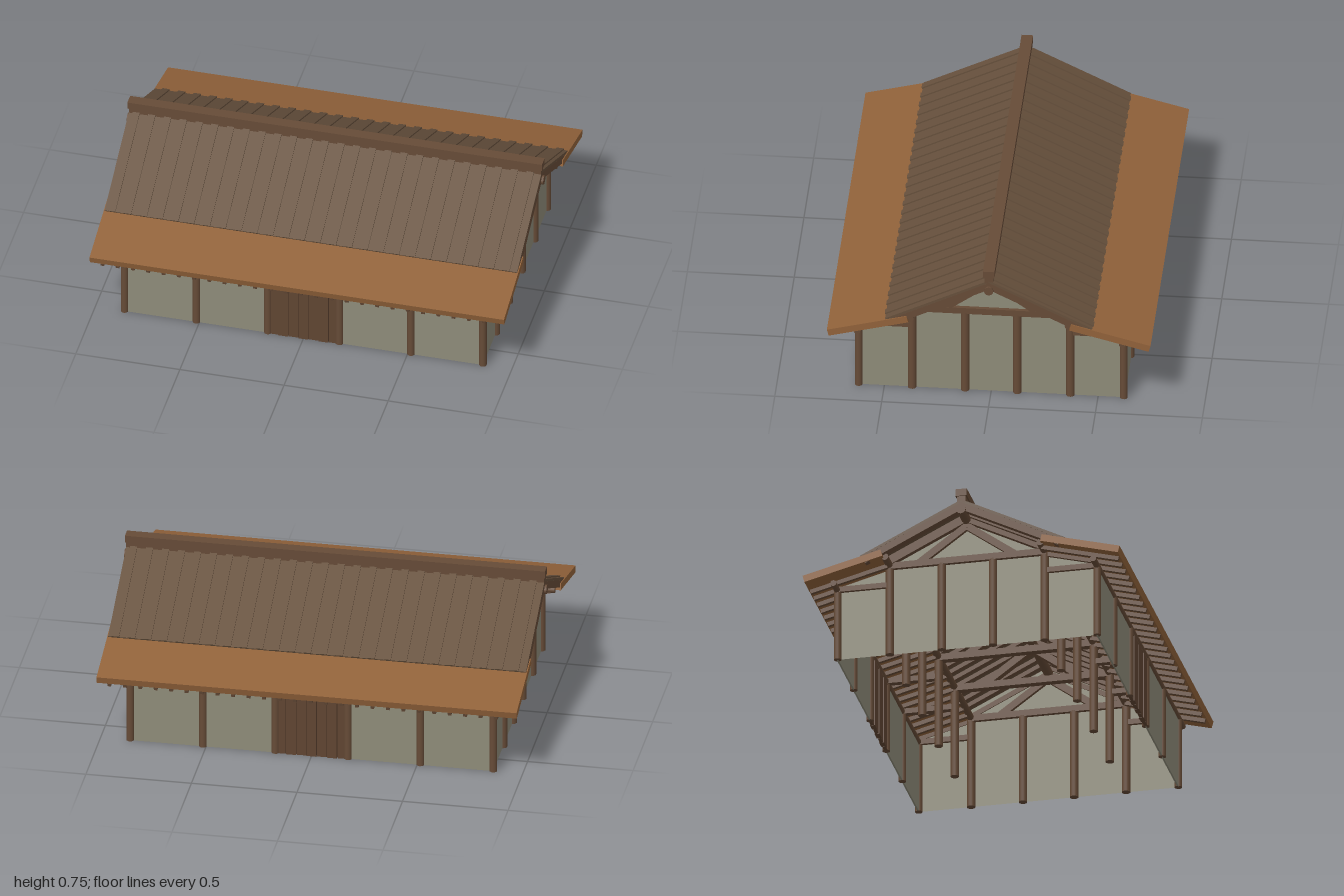
import * as THREE from 'three';

const mat = (name, color, side = THREE.FrontSide) => {
  const m = new THREE.MeshStandardMaterial({ color, side });
  m.name = name;
  return m;
};

export function createModel() {
  const timber = mat('timber', 0x664b37);
  const roofWood = mat('roof boards', 0x66503c);
  const barkWood = mat('eave boards', 0x91623a);
  const doorWood = mat('door wood', 0x604532);
  const plaster = mat('plaster', 0x8e8b79, THREE.DoubleSide);

  const model = new THREE.Group();
  model.name = 'longhouse';

  const add = (parent, name, geo, material, x, y, z) => {
    const m = new THREE.Mesh(geo, material);
    m.name = name;
    m.position.set(x, y, z);
    parent.add(m);
    return m;
  };
  const box = (p, name, material, w, h, d, x, y, z) =>
    add(p, name, new THREE.BoxGeometry(w, h, d), material, x, y, z);
  const post = (p, name, r, h, x, z) =>
    add(p, name, new THREE.CylinderGeometry(r, r, h, 14), timber, x, h / 2, z);
  const log = (p, name, r, len, y, z) => {
    const m = add(p, name, new THREE.CylinderGeometry(r, r, len, 12), timber, 0, y, z);
    m.rotation.z = Math.PI / 2;
  };
  // sloping board whose top runs from [z, y] to [z, y], lowered by drop along its normal
  const sloped = (p, name, material, x, w, t, [z1, y1], [z2, y2], drop = 0) => {
    const a = Math.atan2(y2 - y1, z2 - z1);
    const len = Math.hypot(z2 - z1, y2 - y1);
    const d = drop + t / 2;
    const m = box(p, name, material, w, t, len, x,
      (y1 + y2) / 2 - Math.cos(a) * d, (z1 + z2) / 2 + Math.sin(a) * d);
    m.rotation.x = -a;
  };

  const frames = [-0.86, -0.515, -0.172, 0.172, 0.515, 0.86];
  const ridge = [0, 0.702], eave = [0.485, 0.462];
  const lowTop = [0.385, 0.482], lowEdge = [0.757, 0.385];

  // each long side, turned half round for the back
  for (const turn of [0, Math.PI]) {
    const side = new THREE.Group();
    side.name = turn ? 'backSide' : 'frontSide';
    side.rotation.y = turn;
    model.add(side);

    // wall panels and plank door
    for (const x of [-0.516, 0.516])
      box(side, 'wallPanel', plaster, 0.688, 0.355, 0.008, x, 0.1775, 0.62);
    box(side, 'doorLintel', timber, 0.344, 0.025, 0.02, 0, 0.345, 0.62);
    for (let i = 0; i < 7; i++)
      box(side, 'doorPlank', doorWood, 0.0465, 0.335, 0.016 + (i % 2) * 0.008,
        (i - 3) * 0.0485, 0.1675, 0.62);

    // posts and purlins
    for (const x of frames) {
      const end = Math.abs(x) > 0.8;
      post(side, 'wallPost', 0.018, 0.345, x, 0.62);
      post(side, 'innerPost', 0.02, 0.45, x, 0.37);
      if (end) post(side, 'gablePost', 0.02, 0.44, x, 0.122);
      box(side, 'aisleBeam', timber, 0.03, 0.026, 0.25, x, 0.355, 0.495);
      sloped(side, 'trussStrut', timber, x, 0.034, 0.034, [0, 0.64], [0.245, 0.462]);
    }
    log(side, 'wallPurlin', 0.015, 1.9, 0.354, 0.62);
    log(side, 'innerPurlin', 0.017, 1.94, 0.455, 0.37);

    // lower eave roof
    sloped(side, 'lowerRoof', barkWood, 0, 1.99, 0.034, lowTop, lowEdge);
    // upper roof with raised boards
    sloped(side, 'upperRoof', roofWood, 0, 1.98, 0.012, ridge, eave);
    for (let i = 0; i < 26; i++) {
      const x = -0.955 + i * 0.0757;
      sloped(side, 'roofBatten', roofWood, x, 0.034, 0.008, [0, 0.71], [0.49, 0.467]);
      sloped(side, 'upperRafter', timber, x, 0.02, 0.02, ridge, [0.46, 0.474], 0.012);
      sloped(side, 'lowerRafter', timber, -0.938 + i * 0.0733, 0.017, 0.02,
        lowTop, [0.752, 0.386], 0.034);
    }
    for (const x of [-0.975, 0.975])
      sloped(side, 'bargeBoard', timber, x, 0.03, 0.034, ridge, [0.48, 0.464], 0.012);
    for (const x of [-0.87, 0.87])
      sloped(side, 'gableRafter', timber, x, 0.03, 0.024, [0, 0.662], [0.385, 0.47]);
  }

  // gable ends
  const gable = new THREE.Shape();
  const half = [[0.62, 0], [0.62, 0.365], [0.39, 0.43], [0.37, 0.5]];
  gable.moveTo(-0.62, 0);
  half.forEach(([z, y]) => gable.lineTo(z, y));
  gable.lineTo(0, 0.68);
  half.reverse().forEach(([z, y]) => gable.lineTo(-z, y));
  for (const x of [-0.86, 0.86]) {
    const wall = add(model, 'gableWall', new THREE.ShapeGeometry(gable), plaster, x, 0, 0);
    wall.rotation.y = Math.PI / 2;
  }
  for (const x of frames) {
    box(model, 'tieBeam', timber, 0.036, 0.032, 0.76, x, 0.45, 0);
    box(model, 'ridgeBlock', timber, 0.036, 0.05, 0.034, x, 0.635, 0);
  }

  // ridge
  log(model, 'ridgePurlin', 0.022, 2, 0.648, 0);
  box(model, 'ridgeBase', timber, 1.98, 0.04, 0.04, 0, 0.705, 0);
  box(model, 'ridgeCap', timber, 1.99, 0.035, 0.054, 0, 0.737, 0);

  return model;
}
